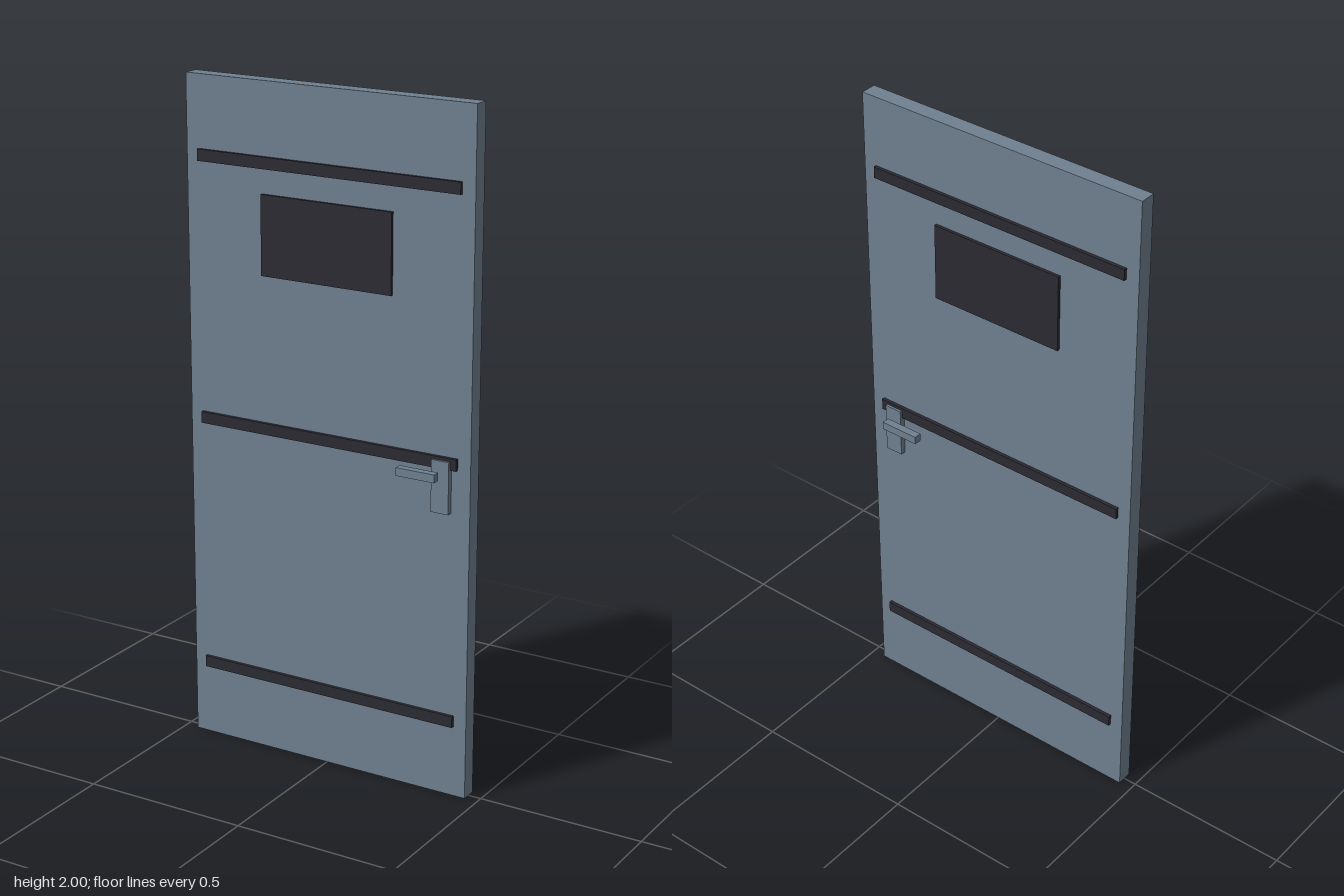
import * as THREE from 'three';

export function createModel() {
  const model = new THREE.Group();
  model.name = 'door';

  const steel = new THREE.MeshStandardMaterial({ color: 0x708090 });
  steel.name = 'slate steel';
  const dark = new THREE.MeshStandardMaterial({ color: 0x2b2a33 });
  dark.name = 'dark trim';

  // Box given by its lower and upper limits on each axis
  function addBox(parent, name, material, [x0, x1], [y0, y1], [z0, z1]) {
    const geometry = new THREE.BoxGeometry(x1 - x0, y1 - y0, z1 - z0);
    const mesh = new THREE.Mesh(geometry, material);
    mesh.position.set((x0 + x1) / 2, (y0 + y1) / 2, (z0 + z1) / 2);
    mesh.name = name;
    parent.add(mesh);
  }

  // Main slab
  const half = 0.024;
  addBox(model, 'doorPanel', steel, [-0.46, 0.46], [0, 2], [-half, half]);

  // The same fittings on the front and the back face
  for (const side of [1, -1]) {
    const fittings = new THREE.Group();
    fittings.name = side > 0 ? 'frontFittings' : 'backFittings';
    model.add(fittings);
    const depth = (near, far) => (side > 0 ? [near, far] : [-far, -near]);

    // Horizontal bands
    for (const y of [0.232, 1.0, 1.772]) {
      addBox(fittings, 'band', dark, [-0.42, 0.42], [y - 0.017, y + 0.017], depth(half, 0.034));
    }

    // Window pane
    addBox(fittings, 'window', dark, [-0.21, 0.21], [1.45, 1.683], depth(half, 0.033));

    // Latch plate and lever handle
    addBox(fittings, 'latchPlate', steel, [0.346, 0.401], [0.855, 1.008], depth(half, 0.041));
    addBox(fittings, 'leverHandle', steel, [0.257, 0.378], [0.956, 0.98], depth(0.058, 0.081));
  }

  return model;
}
